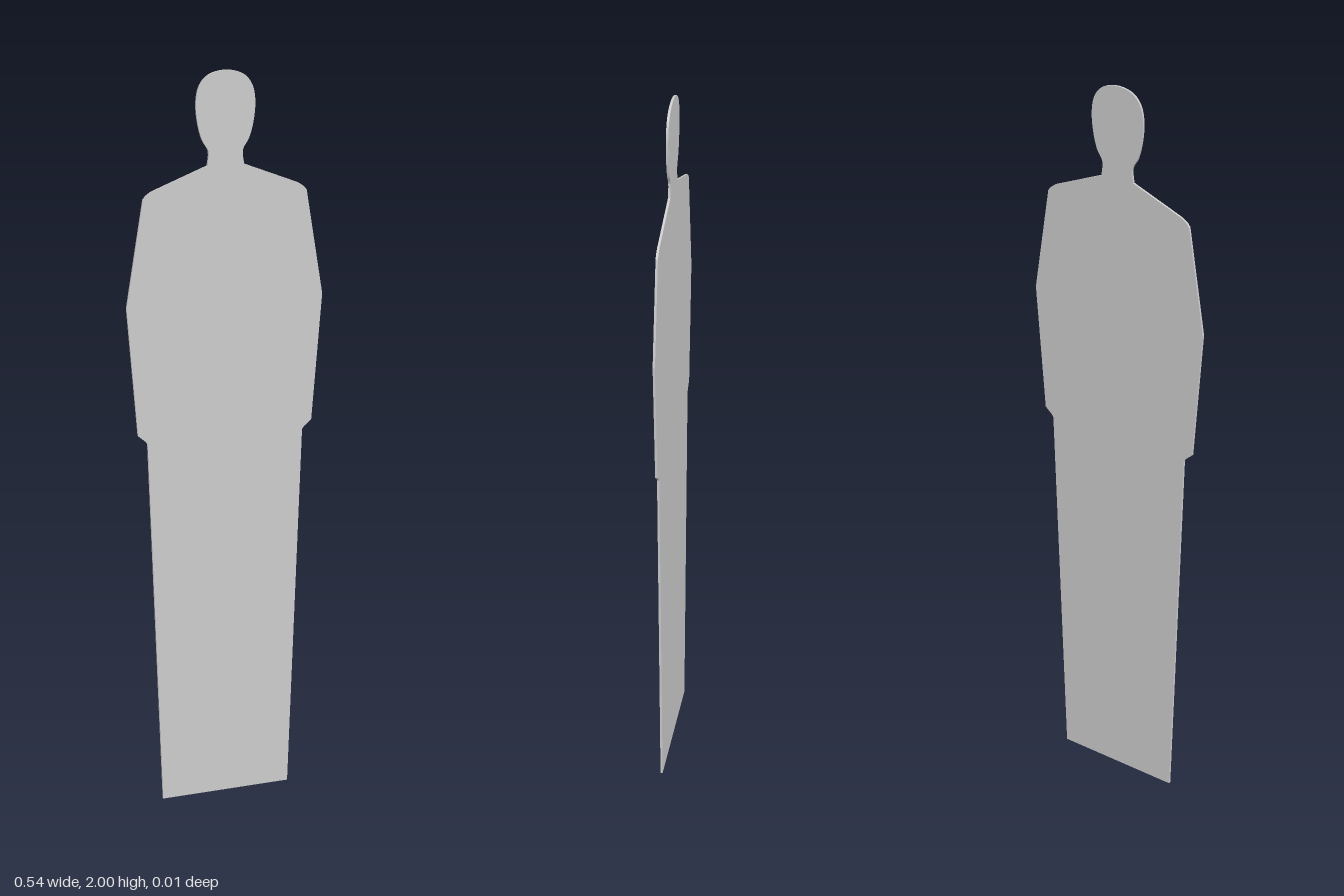
import * as THREE from 'three';

const THICKNESS = 0.006;

// Left half of the outline, from the foot up to the neck
const BODY = [
  [0.183, 0], [0.217, 1.03], [0.222, 1.037], [0.243, 1.055], [0.27, 1.4],
  [0.223, 1.68], [0.215, 1.69], [0.2, 1.7], [0.05, 1.758],
];

// Left half of the neck and head, from the collar up to the crown
const HEAD = [
  [0.05, 1.758], [0.047, 1.795], [0.064, 1.825], [0.076, 1.87], [0.08, 1.92],
  [0.071, 1.962], [0.045, 1.99], [0, 2],
];

export function createModel() {
  const toVector = ([x, y]) => new THREE.Vector2(x, y);

  // Run the head spline over the crown so that it stays round at the top
  const mirrorPoint = (p) => new THREE.Vector2(-p.x, p.y);
  const head = HEAD.map(toVector);
  const fullHead = [...head, ...head.slice(0, -1).reverse().map(mirrorPoint)];
  const headCurve = new THREE.SplineCurve(fullHead).getPoints(56);

  // Straight body edges on both sides, joined by the head curve
  const body = BODY.slice(0, -1).map(toVector);
  const outline = [...body, ...headCurve, ...body.slice().reverse().map(mirrorPoint)];

  const geometry = new THREE.ExtrudeGeometry(new THREE.Shape(outline), {
    depth: THICKNESS,
    bevelEnabled: false,
  });
  geometry.translate(0, 0, -THICKNESS / 2);

  const figure = new THREE.Mesh(geometry, new THREE.MeshStandardMaterial({ color: 0xcccccc }));
  figure.name = 'standingFigureCutout';

  const model = new THREE.Group();
  model.name = 'flatPerson';
  model.add(figure);
  return model;
}
